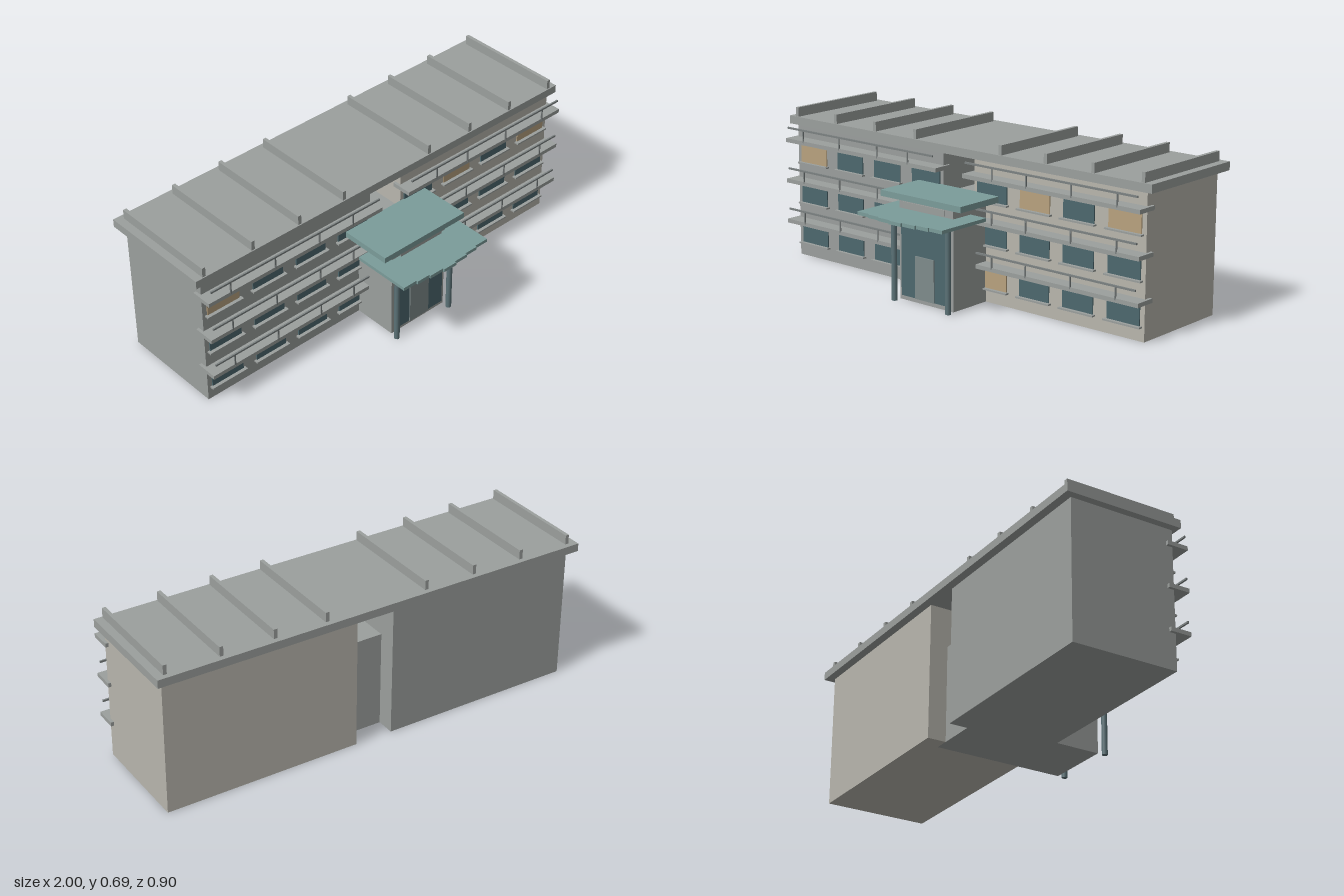
import * as THREE from 'three';

const mat = (color) => new THREE.MeshStandardMaterial({ color });
const M = {
  grey: mat(0x9b9f9d),
  beige: mat(0xb8b6ad),
  glass: mat(0x4d686e),
  tan: mat(0xb8a27f),
  teal: mat(0x7b9c9a),
  door: mat(0x7f8b8b),
  metal: mat(0x5c7378),
  rail: mat(0x7c8282),
};

export function createModel() {
  const model = new THREE.Group();
  model.name = 'building';

  // Box given by its lower and upper bounds on each axis
  function box(name, material, x0, x1, y0, y1, z0, z1, parent = model) {
    const mesh = new THREE.Mesh(new THREE.BoxGeometry(x1 - x0, y1 - y0, z1 - z0), material);
    mesh.position.set((x0 + x1) / 2, (y0 + y1) / 2, (z0 + z1) / 2);
    mesh.name = name;
    parent.add(mesh);
    return mesh;
  }

  // Two wings with windows, sills, balcony slabs and railings
  const windows = [[0.105, 0.265], [0.335, 0.49], [0.56, 0.715], [0.785, 0.945]];
  const posts = [0.235, 0.415, 0.645, 0.87];
  const slabBottoms = [0.158, 0.345, 0.531];
  const lit = ['-1,2,3', '1,2,1', '1,2,3', '1,0,0']; // side, floor, window
  for (const side of [-1, 1]) {
    const wing = new THREE.Group();
    wing.name = side < 0 ? 'rightWing' : 'leftWing';
    model.add(wing);
    const part = (name, material, a, b, ...rest) =>
      box(name, material, Math.min(side * a, side * b), Math.max(side * a, side * b), ...rest, wing);

    part('wingWalls', side < 0 ? M.grey : M.beige, 0.086, 0.967, 0, 0.607, -0.413, 0.06);
    slabBottoms.forEach((y, floor) => {
      windows.forEach(([a, b], i) => {
        const glass = lit.includes(`${side},${floor},${i}`) ? M.tan : M.glass;
        part('window', glass, a, b, y - 0.095, y, 0.055, 0.065);
        part('windowSill', M.grey, a - 0.01, b + 0.01, y - 0.102, y - 0.095, 0.055, 0.08);
      });
      part('balconySlab', M.grey, 0.074, 0.98, y, y + 0.018, 0.03, 0.125);
      part('handrail', M.rail, 0.09, 0.967, y + 0.063, y + 0.071, 0.12, 0.127);
      for (const x of posts)
        part('railPost', M.rail, x - 0.003, x + 0.003, y + 0.01, y + 0.065, 0.121, 0.126);
    });
  }

  // Roof slab with raised ribs
  box('roofSlab', M.grey, -1, 1, 0.607, 0.643, -0.45, 0.08);
  for (const side of [-1, 1])
    for (const x of [0.237, 0.474, 0.713, 0.956])
      box('roofRib', M.grey, side * x - 0.008, side * x + 0.008, 0.643, 0.685, -0.427, 0.075);

  // Entrance block between the wings
  box('entranceBlock', M.grey, -0.15, 0.15, 0, 0.432, -0.33, 0.263);
  box('entranceGlazing', M.glass, -0.135, 0.135, 0.02, 0.343, 0.26, 0.27);
  box('entranceDoor', M.door, -0.054, 0.052, 0.02, 0.205, 0.265, 0.275);
  box('fasciaPlate', M.grey, -0.115, 0.115, 0.404, 0.43, 0.276, 0.28);

  // Slim columns carrying the canopy
  for (const side of [-1, 1]) {
    const column = new THREE.Mesh(new THREE.CylinderGeometry(0.0125, 0.0125, 0.382, 10), M.metal);
    column.position.set(side * 0.151, 0.191, 0.297);
    column.name = 'entranceColumn';
    model.add(column);
  }

  // Lower canopy: planks stepping forward towards the middle
  const edges = [-0.235, -0.167, -0.103, -0.034, 0.034, 0.103, 0.167, 0.235];
  for (let i = 0; i < 7; i++) {
    const front = 0.45 - [0, 0.008, 0.016, 0.024][Math.abs(i - 3)];
    box('canopyPlank', M.teal, edges[i], edges[i + 1], 0.38, 0.395, 0.157, front);
  }
  // Upper canopy
  box('upperCanopy', M.teal, -0.223, 0.223, 0.44, 0.466, 0.06, 0.3);

  return model;
}
